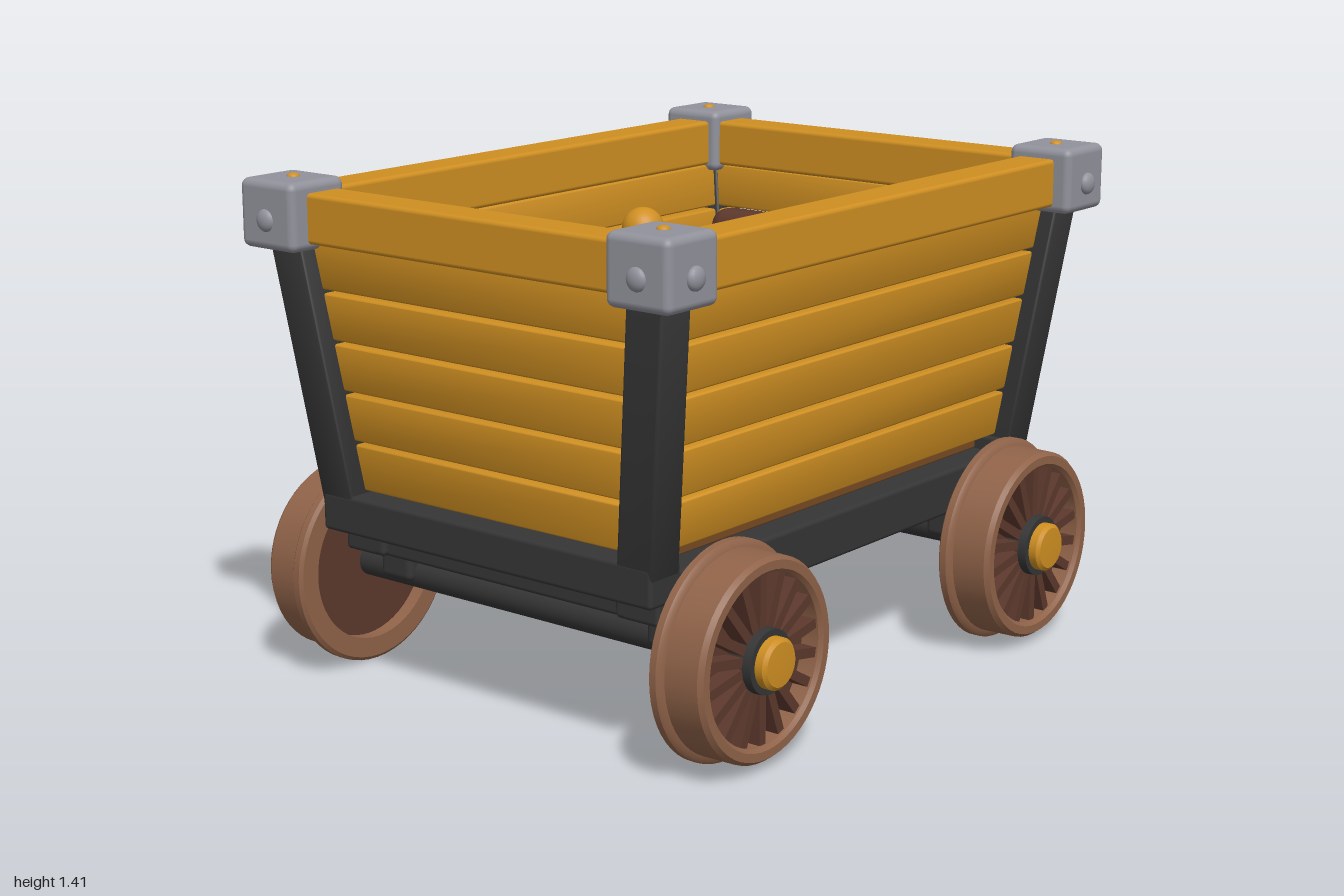
import * as THREE from 'three';
import { toCreasedNormals } from 'three/addons/utils/BufferGeometryUtils.js';
import { RoundedBoxGeometry } from 'three/addons/geometries/RoundedBoxGeometry.js';

const colour = (name, hex) => {
  const m = new THREE.MeshStandardMaterial({ color: hex });
  m.name = name;
  return m;
};
const gold = colour('golden wood', 0xcf8f22);
const iron = colour('dark iron', 0x353535);
const steel = colour('steel', 0x92929c);
const rimBrown = colour('wheel brown', 0x906349);
const darkBrown = colour('dark brown', 0x5c382c);
const floorBrown = colour('floor brown', 0x774b24);

function add(parent, name, geometry, material, x = 0, y = 0, z = 0) {
  const mesh = new THREE.Mesh(geometry, material);
  mesh.name = name;
  mesh.position.set(x, y, z);
  parent.add(mesh);
  return mesh;
}

const block = (w, h, d, r = 0.012) => new RoundedBoxGeometry(w, h, d, 3, r);

// Box whose cross-section drifts sideways and widens as it rises
function leaningBox(w, h, d, { leanX = 0, leanZ = 0, growX = 0, growZ = 0 }) {
  const g = block(w, h, d, 0.008);
  const p = g.attributes.position;
  for (let i = 0; i < p.count; i++) {
    const x = p.getX(i), y = p.getY(i), z = p.getZ(i);
    p.setX(i, x * (1 + growX * y) + leanX * y);
    p.setZ(i, z * (1 + growZ * y) + leanZ * y);
  }
  return toCreasedNormals(g, 0.6);
}

// Flattened bolt head facing the given axis
function bolt(parent, name, material, r, axis, x, y, z) {
  const b = add(parent, name, new THREE.SphereGeometry(r, 20, 12), material, x, y, z);
  b.scale[axis] = 0.6;
  return b;
}

const LEAN_X = 0.14, LEAN_Z = 0.11;
const wallX = y => 0.5 + LEAN_X * (y - 0.55);
const wallZ = y => 0.785 + LEAN_Z * (y - 0.55);

function buildWalls(cart) {
  const walls = new THREE.Group();
  walls.name = 'plankWalls';
  cart.add(walls);
  const h = 0.128;
  for (let i = 0; i < 5; i++) {
    const y = 0.622 + i * 0.138;
    const x = wallX(y), z = wallZ(y);
    for (const s of [-1, 1]) {
      add(walls, 'sidePlank', leaningBox(0.055, h, 2 * z, { leanX: s * LEAN_X, growZ: LEAN_Z / z }), gold, s * x, y, 0);
      add(walls, 'endPlank', leaningBox(2 * x, h, 0.055, { leanZ: s * LEAN_Z, growX: LEAN_X / x }), gold, 0, y, s * z);
    }
  }
  // Top rails
  for (const s of [-1, 1]) {
    add(walls, 'sideTopRail', block(0.12, 0.135, 1.8), gold, s * 0.62, 1.307, 0);
    add(walls, 'endTopRail', block(1.28, 0.135, 0.12), gold, 0, 1.307, s * 0.87);
  }
}

function buildCorners(cart) {
  for (const sx of [-1, 1]) for (const sz of [-1, 1]) {
    const corner = new THREE.Group();
    corner.name = 'corner';
    cart.add(corner);
    add(corner, 'cornerPost', leaningBox(0.115, 0.76, 0.11, { leanX: sx * 0.135, leanZ: sz * 0.1 }), iron,
      sx * 0.565, 0.87, sz * 0.845);
    add(corner, 'cornerCap', block(0.2, 0.185, 0.195, 0.022), steel, sx * 0.63, 1.313, sz * 0.888);
    bolt(corner, 'capSideBolt', steel, 0.031, 'x', sx * 0.732, 1.3, sz * 0.888);
    bolt(corner, 'capEndBolt', steel, 0.031, 'z', sx * 0.632, 1.3, sz * 0.982);
    bolt(corner, 'capTopBolt', gold, 0.018, 'y', sx * 0.63, 1.404, sz * 0.882);
  }
}

function buildChassis(cart) {
  for (const s of [-1, 1]) {
    add(cart, 'sideFrameRail', block(0.12, 0.13, 1.62), iron, s * 0.49, 0.445, 0);
    add(cart, 'crossFrameRail', block(1.0, 0.13, 0.1), iron, 0, 0.442, s * 0.74);
    add(cart, 'endBeam', block(1.15, 0.108, 0.12), iron, 0, 0.498, s * 0.808);
    const axle = add(cart, 'axle', new THREE.CylinderGeometry(0.047, 0.047, 1.26, 24), iron, 0, 0.295, s * 0.637);
    axle.rotation.z = Math.PI / 2;
    for (const sx of [-1, 1]) {
      add(cart, 'axleBearing', block(0.115, 0.15, 0.13, 0.02), iron, sx * 0.475, 0.352, s * 0.637);
      add(cart, 'bearingBrace', block(0.09, 0.065, 0.2, 0.015), iron, sx * 0.452, 0.412, s * 0.71);
    }
  }
  // Floor boards
  for (let i = -3; i <= 3; i++) {
    add(cart, 'floorBoard', block(0.127, 0.05, 1.56, 0.006), floorBrown, i * 0.135, 0.535, 0);
  }
}

// Wheel along its own y axis, outer face up; y is the distance from the cart's centre line
function buildWheel() {
  const wheel = new THREE.Group();
  wheel.name = 'wheel';
  const profile = [
    [0.225, 0.61], [0.28, 0.61], [0.29, 0.618], [0.29, 0.638], [0.283, 0.646], [0.27, 0.65],
    [0.268, 0.75], [0.258, 0.763], [0.235, 0.763], [0.225, 0.753], [0.225, 0.61],
  ].map(p => new THREE.Vector2(...p));
  add(wheel, 'wheelRim', toCreasedNormals(new THREE.LatheGeometry(profile, 56), 0.6), rimBrown);
  add(wheel, 'wheelDisc', new THREE.CylinderGeometry(0.228, 0.228, 0.05, 48), darkBrown, 0, 0.675, 0);
  const count = 18;
  for (let i = 0; i < count; i++) {
    const a = (i / count) * Math.PI * 2;
    const spoke = add(wheel, 'spoke', new THREE.BoxGeometry(0.16, 0.05, 0.026), darkBrown,
      Math.cos(a) * 0.15, 0.722, -Math.sin(a) * 0.15);
    spoke.rotation.y = a;
  }
  add(wheel, 'hub', new THREE.CylinderGeometry(0.085, 0.09, 0.11, 32), iron, 0, 0.717, 0);
  const cap = [[0, 0.765], [0.068, 0.765], [0.068, 0.795], [0.058, 0.804], [0, 0.807]]
    .map(p => new THREE.Vector2(...p));
  add(wheel, 'hubCap', toCreasedNormals(new THREE.LatheGeometry(cap, 32), 0.6), gold);
  return wheel;
}

function buildSeat(cart) {
  const seat = new THREE.Group();
  seat.name = 'seat';
  cart.add(seat);
  add(seat, 'seatCushion', block(0.71, 0.18, 0.53, 0.045), darkBrown, 0, 0.65, -0.377);
  const back = add(seat, 'seatBack', block(0.71, 0.5, 0.14, 0.05), darkBrown, 0, 0.91, -0.56);
  back.rotation.x = -0.14;
}

function buildDashboard(cart) {
  const dash = new THREE.Group();
  dash.name = 'dashboard';
  dash.position.set(0, 1.15, 0.715);
  dash.rotation.x = 0.43;
  cart.add(dash);
  add(dash, 'dashPanel', block(0.905, 0.2, 0.07), iron);
  // Round fittings facing the seat
  const disc = (name, r, depth, material, x, y, z) => {
    const m = add(dash, name, new THREE.CylinderGeometry(r * 0.94, r, depth, 36), material, x, y, z);
    m.rotation.x = -Math.PI / 2;
  };
  const face = -0.035;
  disc('gaugeBody', 0.115, 0.03, steel, -0.265, 0, face - 0.015);
  const bezel = add(dash, 'gaugeBezel', new THREE.TorusGeometry(0.103, 0.01, 10, 40), steel, -0.265, 0, face - 0.031);
  bezel.name = 'gaugeBezel';
  disc('gaugePin', 0.014, 0.016, gold, -0.265, 0, face - 0.036);
  const needle = add(dash, 'gaugeNeedle', new THREE.BoxGeometry(0.01, 0.075, 0.006), iron, -0.245, 0.03, face - 0.033);
  needle.rotation.z = -0.6;
  disc('steelButtonBase', 0.045, 0.02, gold, -0.015, 0, face - 0.01);
  disc('steelButton', 0.035, 0.045, steel, -0.015, 0, face - 0.022);
  disc('goldButtonBase', 0.045, 0.02, gold, 0.155, 0, face - 0.01);
  disc('goldButton', 0.03, 0.045, gold, 0.155, 0, face - 0.022);
  for (const sx of [-1, 1]) for (const sy of [-1, 1]) {
    bolt(dash, 'dashScrew', gold, 0.012, 'z', sx * 0.41, sy * 0.075, face);
  }
  // Lever
  const foot = new THREE.Vector3(0.345, -0.04, face - 0.03);
  const tip = new THREE.Vector3(0.345, 0.129, -0.17);
  add(dash, 'leverBase', block(0.09, 0.08, 0.06), iron, 0.345, -0.04, face - 0.02);
  const path = new THREE.LineCurve3(foot, tip);
  add(dash, 'leverRod', new THREE.TubeGeometry(path, 1, 0.014, 14), steel);
  add(dash, 'leverCollar', new THREE.SphereGeometry(0.03, 18, 12), steel, foot.x, foot.y + 0.015, foot.z - 0.015);
  add(dash, 'leverKnob', new THREE.SphereGeometry(0.053, 28, 18), gold, tip.x, tip.y, tip.z);
}

export function createModel() {
  const cart = new THREE.Group();
  cart.name = 'cart';
  buildChassis(cart);
  buildWalls(cart);
  buildCorners(cart);
  for (const sx of [-1, 1]) for (const sz of [-1, 1]) {
    const wheel = buildWheel();
    wheel.rotation.z = -sx * Math.PI / 2;
    wheel.position.set(0, 0.295, sz * 0.637);
    cart.add(wheel);
  }
  buildSeat(cart);
  buildDashboard(cart);
  return cart;
}
